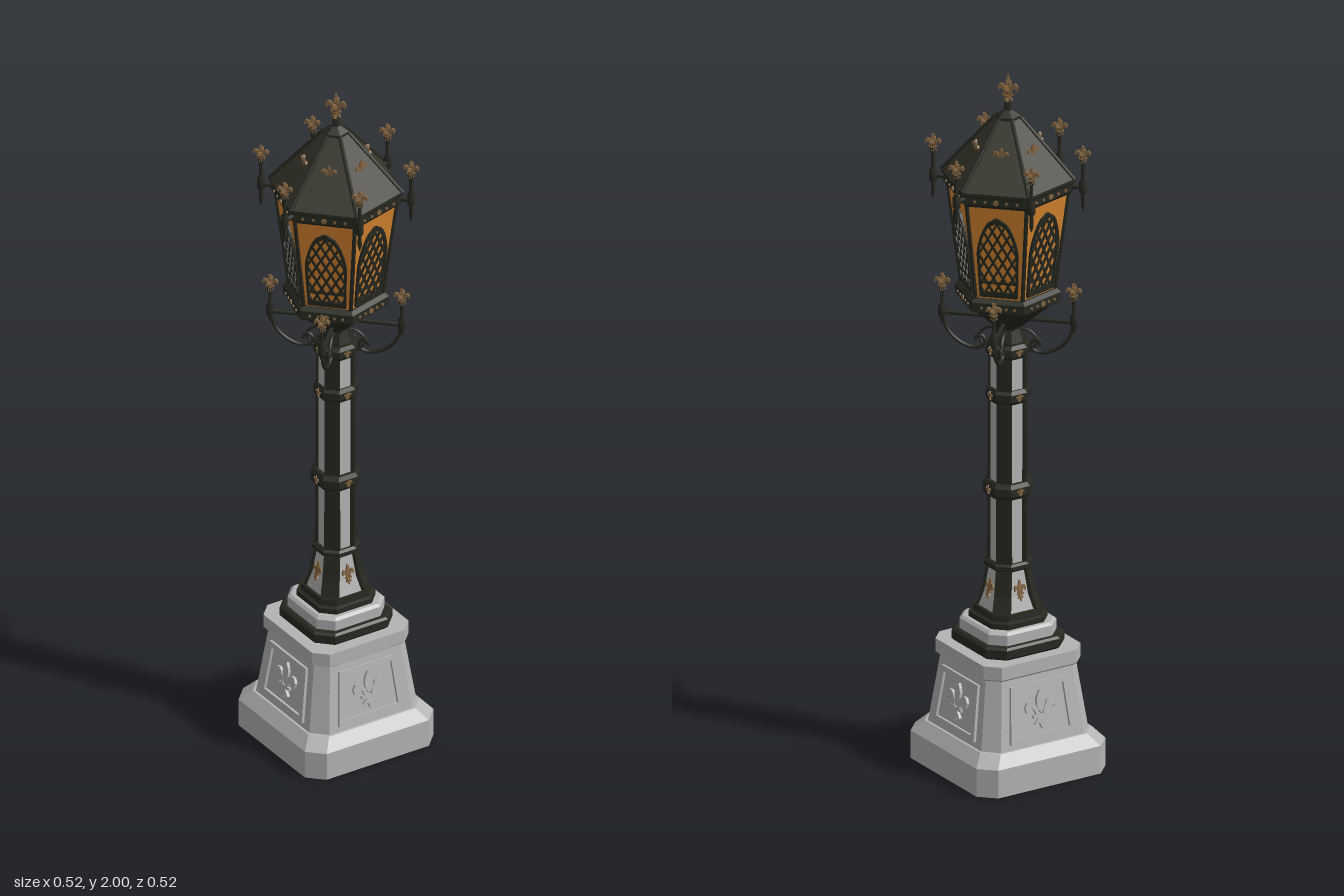
import * as THREE from 'three';
import { mergeGeometries } from 'three/addons/utils/BufferGeometryUtils.js';

const mat = (name, color) => Object.assign(new THREE.MeshStandardMaterial({ color }), { name });
const stone = mat('stone', 0xb4b4b4);
const iron = mat('iron', 0x272920);
const roofIron = mat('roof iron', 0x37362c);
const gold = mat('aged gold', 0x846540);
const amber = mat('amber glass', 0xd5832f);

const V = (x, y, z = 0) => new THREE.Vector3(x, y, z);

// Flat-faced solid through a stack of rings, each listed anticlockwise from above
function loft(rings) {
  const pos = [], n = rings[0].length;
  const tri = (...p) => p.forEach(v => pos.push(v.x, v.y, v.z));
  for (let r = 0; r < rings.length - 1; r++) {
    const a = rings[r], b = rings[r + 1];
    for (let i = 0; i < n; i++) {
      const j = (i + 1) % n;
      tri(a[i], a[j], b[j]);
      tri(a[i], b[j], b[i]);
    }
  }
  const lo = rings[0], hi = rings[rings.length - 1];
  for (let i = 1; i < n - 1; i++) { tri(hi[0], hi[i], hi[i + 1]); tri(lo[0], lo[i + 1], lo[i]); }
  const g = new THREE.BufferGeometry();
  g.setAttribute('position', new THREE.Float32BufferAttribute(pos, 3));
  g.computeVertexNormals();
  return g;
}
// Diamond-set square with cut corners; hexagon with a corner on +x; one corner post
const octRing = ([y, r, c]) => [[r, c], [r, -c], [c, -r], [-c, -r], [-r, -c], [-r, c], [-c, r], [c, r]].map(p => V(p[0], y, p[1]));
const hexRing = ([y, r]) => [0, 1, 2, 3, 4, 5].map(i => V(r * Math.cos(i * Math.PI / 3), y, -r * Math.sin(i * Math.PI / 3)));
const postRing = ([y, r, c]) => [[r, c], [r, -c], [r - 0.03, -c], [r - 0.03, c]].map(p => V(p[0], y, p[1]));

function add(parent, name, geo, material, x = 0, y = 0, z = 0) {
  const m = new THREE.Mesh(geo, material);
  m.name = name;
  m.position.set(x, y, z);
  parent.add(m);
  return m;
}
const oct = (p, name, m, ...levels) => add(p, name, loft(levels.map(octRing)), m);
const hex = (p, name, m, ...levels) => add(p, name, loft(levels.map(hexRing)), m);

function rod(parent, name, a, b, r, material) {
  const m = add(parent, name, new THREE.CylinderGeometry(r, r, a.distanceTo(b), 6), material);
  m.position.copy(a).lerp(b, 0.5);
  m.quaternion.setFromUnitVectors(V(0, 1), b.clone().sub(a).normalize());
  return m;
}

// Turned and tilted frame for dressing one sloping face; local +z points outward
function faceFrame(parent, name, angle, y, dist, tilt) {
  const turn = new THREE.Group(), face = new THREE.Group();
  turn.name = name;
  face.name = name + 'Face';
  turn.rotation.y = angle;
  face.position.set(0, y, dist);
  face.rotation.x = tilt;
  turn.add(face);
  parent.add(turn);
  return face;
}

// Lily ornament: middle petal, two curled side petals, band and tail
function lily(w, h, depth) {
  const S = (x, y) => [x * w, y * h];
  const petal = new THREE.Shape();
  petal.moveTo(...S(0, -0.1));
  petal.quadraticCurveTo(...S(0.26, 0.2), ...S(0, 0.5));
  petal.quadraticCurveTo(...S(-0.26, 0.2), ...S(0, -0.1));
  const sides = [1, -1].map(s => {
    const p = new THREE.Shape();
    p.moveTo(...S(0.05 * s, -0.12));
    p.bezierCurveTo(...S(0.1 * s, 0.2), ...S(0.38 * s, 0.4), ...S(0.5 * s, 0.12));
    p.lineTo(...S(0.46 * s, -0.02));
    p.lineTo(...S(0.36 * s, 0.06));
    p.quadraticCurveTo(...S(0.22 * s, 0.1), ...S(0.16 * s, -0.12));
    return p;
  });
  const band = new THREE.Shape([[-0.25, -0.2], [0.25, -0.2], [0.25, -0.12], [-0.25, -0.12]].map(p => new THREE.Vector2(...S(...p))));
  const tail = new THREE.Shape([[-0.08, -0.2], [-0.24, -0.36], [-0.08, -0.33], [0, -0.5], [0.08, -0.33], [0.24, -0.36], [0.08, -0.2]].map(p => new THREE.Vector2(...S(...p))));
  const g = new THREE.ExtrudeGeometry([petal, ...sides, band, tail], { depth, bevelEnabled: false, curveSegments: 5 });
  return g.translate(0, 0, -depth / 2);
}

// Two crossed lilies
function crossLily(parent, x, y, z, w, h) {
  add(parent, 'lilyFinial', lily(w, h, 0.008), gold, x, y, z);
  add(parent, 'lilyFinial', lily(w, h, 0.008), gold, x, y, z).rotation.y = Math.PI / 2;
}

// Upright spindle with collars, pendant and lily
function spindle(parent, x, y, z, drop, rise) {
  const g = new THREE.Group();
  g.name = 'spindle';
  g.position.set(x, y, z);
  const profile = [[0.001, -drop], [0.006, -drop + 0.015], [0.005, -0.025], [0.011, -0.015], [0.011, 0.012], [0.005, 0.02], [0.005, rise - 0.05], [0.011, rise - 0.045], [0.005, rise - 0.035], [0.001, rise - 0.02]];
  add(g, 'spindleRod', new THREE.LatheGeometry(profile.map(p => new THREE.Vector2(...p)), 8), iron);
  crossLily(g, 0, rise - 0.025, 0, 0.044, 0.055);
  parent.add(g);
}

// Pointed arch with a diamond lattice, in local panel coordinates
const archWidth = y => y < 0.0 ? 0.057 + 0.04 * y : 0.057 * Math.sqrt(Math.max(0, 1 - Math.pow(y / 0.112, 1.5)));
function archOutline(Type, s) {
  const p = [];
  for (let i = 0; i <= 16; i++) { const y = -0.128 + 0.24 * i / 16; p.push(new THREE.Vector2(s * archWidth(y), s * y)); }
  for (let i = 15; i >= 0; i--) p.push(new THREE.Vector2(-p[i].x, p[i].y));
  return new Type(p);
}
function tracery() {
  const ring = archOutline(THREE.Shape, 1);
  ring.holes.push(archOutline(THREE.Path, 0.88));
  const parts = [new THREE.ExtrudeGeometry(ring, { depth: 0.007, bevelEnabled: false })];
  const bar = (x0, y0, x1, y1) => {
    const b = new THREE.BoxGeometry(0.0055, Math.hypot(x1 - x0, y1 - y0), 0.005).toNonIndexed();
    parts.push(b.rotateZ(-Math.atan2(x1 - x0, y1 - y0)).translate((x0 + x1) / 2, (y0 + y1) / 2, 0.003));
  };
  for (const s of [1, -1]) for (let k = -5; k <= 5; k++) {
    const inside = [];
    for (let y = -0.125; y < 0.112; y += 0.002) {
      const x = s * (k * 0.026 + y * 0.55);
      if (Math.abs(x) < archWidth(y) - 0.002) inside.push([x, y]);
    }
    if (inside.length > 3) bar(...inside[0], ...inside[inside.length - 1]);
  }
  bar(-0.05, -0.085, 0.05, -0.085);
  return mergeGeometries(parts);
}

export function createModel() {
  const model = new THREE.Group();
  model.name = 'streetLantern';

  // Stone pedestal
  oct(model, 'footSlab', stone, [0, 0.26, 0.03], [0.08, 0.26, 0.03], [0.112, 0.222, 0.028]);
  oct(model, 'pedestalBody', stone, [0.112, 0.213, 0.027], [0.308, 0.18, 0.022]);
  oct(model, 'pedestalCap', stone, [0.305, 0.182, 0.024], [0.312, 0.193, 0.025], [0.35, 0.193, 0.025]);
  oct(model, 'ironPlinth', iron, [0.35, 0.14, 0.028], [0.357, 0.148, 0.03], [0.38, 0.148, 0.03], [0.386, 0.142, 0.028]);
  oct(model, 'upperStoneStep', stone, [0.386, 0.127, 0.026], [0.415, 0.127, 0.026], [0.422, 0.118, 0.024]);
  oct(model, 'columnFoot', iron, [0.42, 0.103, 0.024], [0.437, 0.103, 0.024], [0.44, 0.092, 0.022], [0.458, 0.09, 0.022]);

  // Stone shaft, iron bands
  oct(model, 'flaredShaft', stone, [0.455, 0.078, 0.023], [0.5, 0.062, 0.021], [0.58, 0.048, 0.019]);
  oct(model, 'shaft', stone, [0.57, 0.044, 0.02], [1.22, 0.044, 0.02]);
  for (const [y, r, h] of [[0.58, 0.061, 0.022], [0.8, 0.065, 0.044], [1.07, 0.057, 0.04], [1.2, 0.057, 0.04]]) {
    const k = h / 2;
    oct(model, 'columnBand', iron, [y - k, r - 0.008, 0.021], [y - k / 2, r, 0.022], [y + k / 2, r, 0.022], [y + k, r - 0.008, 0.021]);
  }
  oct(model, 'capital', iron, [1.2, 0.045, 0.02], [1.225, 0.045, 0.02], [1.26, 0.034, 0.016]);

  const frame = new THREE.Shape([[-0.103, -0.08], [0.103, -0.08], [0.089, 0.077], [-0.089, 0.077]].map(p => new THREE.Vector2(...p)));
  frame.holes.push(new THREE.Path([[-0.086, -0.065], [0.086, -0.065], [0.075, 0.062], [-0.075, 0.062]].map(p => new THREE.Vector2(...p))));
  const frameGeo = new THREE.ExtrudeGeometry(frame, { depth: 0.008, bevelEnabled: false });

  for (let k = 0; k < 4; k++) {
    // Carved panels and column ornaments on the diagonal faces
    const diag = Math.PI / 4 + k * Math.PI / 2;
    const panel = faceFrame(model, 'pedestalPanel', diag, 0.207, 0.157, -0.141);
    add(panel, 'panelFrame', frameGeo, stone);
    add(panel, 'carvedLily', lily(0.1, 0.108, 0.016), stone);
    const flare = faceFrame(model, 'flareOrnament', diag, 0.515, 0.0575, -0.2);
    add(flare, 'goldLily', lily(0.036, 0.06, 0.01), gold);
    for (const [y, d] of [[0.8, 0.062], [1.07, 0.056], [1.2, 0.056]]) {
      add(faceFrame(model, 'bandOrnament', diag, y, d, 0), 'goldBoss', lily(0.022, 0.026, 0.006), gold);
    }

    // Corner post and scrolled bracket on each axis
    const side = new THREE.Group();
    side.name = 'columnCorner';
    side.rotation.y = k * Math.PI / 2;
    add(side, 'cornerPost', loft([[0.455, 0.086, 0.025], [0.5, 0.07, 0.023], [0.58, 0.054, 0.021], [1.22, 0.05, 0.02]].map(postRing)), iron);
    rod(side, 'bracketBar', V(0.02, 1.285), V(0.18, 1.285), 0.006, iron);
    const scroll = new THREE.CatmullRomCurve3([[0.18, 1.28], [0.165, 1.235], [0.13, 1.202], [0.09, 1.19], [0.066, 1.2], [0.066, 1.222], [0.084, 1.226], [0.09, 1.21]].map(p => V(...p)));
    add(side, 'bracketScroll', new THREE.TubeGeometry(scroll, 32, 0.005, 6), iron);
    const stay = new THREE.CatmullRomCurve3([V(0.04, 1.19), V(0.062, 1.195), V(0.08, 1.225), V(0.06, 1.25), V(0.035, 1.255)]);
    add(side, 'bracketStay', new THREE.TubeGeometry(stay, 16, 0.004, 6), iron);
    model.add(side);
    const a = k * Math.PI / 2;
    spindle(model, 0.18 * Math.cos(a), 1.29, 0.18 * Math.sin(a), 0.04, 0.105);
  }

  // Lantern body
  hex(model, 'lanternFunnel', iron, [1.235, 0.03], [1.265, 0.042], [1.345, 0.135]);
  hex(model, 'lowerBand', iron, [1.34, 0.138], [1.345, 0.145], [1.37, 0.145], [1.38, 0.134]);
  hex(model, 'glass', amber, [1.375, 0.127], [1.66, 0.165]);
  hex(model, 'upperBand', iron, [1.655, 0.168], [1.665, 0.178], [1.685, 0.178], [1.69, 0.183], [1.698, 0.183]);
  hex(model, 'roof', roofIron, [1.696, 0.182], [1.865, 0.034]);
  hex(model, 'roofCap', iron, [1.855, 0.03], [1.86, 0.036], [1.87, 0.036], [1.885, 0.012], [1.92, 0.006]);
  crossLily(model, 0, 1.94, 0, 0.056, 0.08);
  add(model, 'finialSpike', new THREE.ConeGeometry(0.006, 0.09, 6), gold, 0, 1.955, 0);

  const traceryGeo = tracery();
  for (let k = 0; k < 6; k++) {
    // Corner ribs and spindles
    const a = k * Math.PI / 3, c = Math.cos(a), s = Math.sin(a);
    const at = (r, y) => V(r * c, y, r * s);
    rod(model, 'glassRib', at(0.127, 1.37), at(0.165, 1.665), 0.006, iron);
    rod(model, 'roofRib', at(0.182, 1.698), at(0.034, 1.866), 0.0055, iron);
    rod(model, 'spindleArm', at(0.17, 1.678), at(0.205, 1.678), 0.007, iron);
    spindle(model, 0.205 * c, 1.68, 0.205 * s, 0.07, 0.115);

    // Face tracery, roof lilies and studs
    add(faceFrame(model, 'windowTracery', a, 1.515, 0.1265, 0.115), 'lattice', traceryGeo, iron);
    add(faceFrame(model, 'roofOrnament', a, 1.787, 0.09, 0), 'roofLily', lily(0.044, 0.045, 0.006), gold);
    for (const [y, d, w] of [[1.3575, 0.1257, 0.045], [1.675, 0.1543, 0.058]]) {
      const band = faceFrame(model, 'bandStuds', a, y, d, 0);
      for (const x of [-w, -w / 2, 0, w / 2, w]) {
        add(band, 'stud', new THREE.CylinderGeometry(x ? 0.004 : 0.008, x ? 0.004 : 0.008, 0.006, 8), gold, x).rotation.x = Math.PI / 2;
      }
    }
  }
  return model;
}
